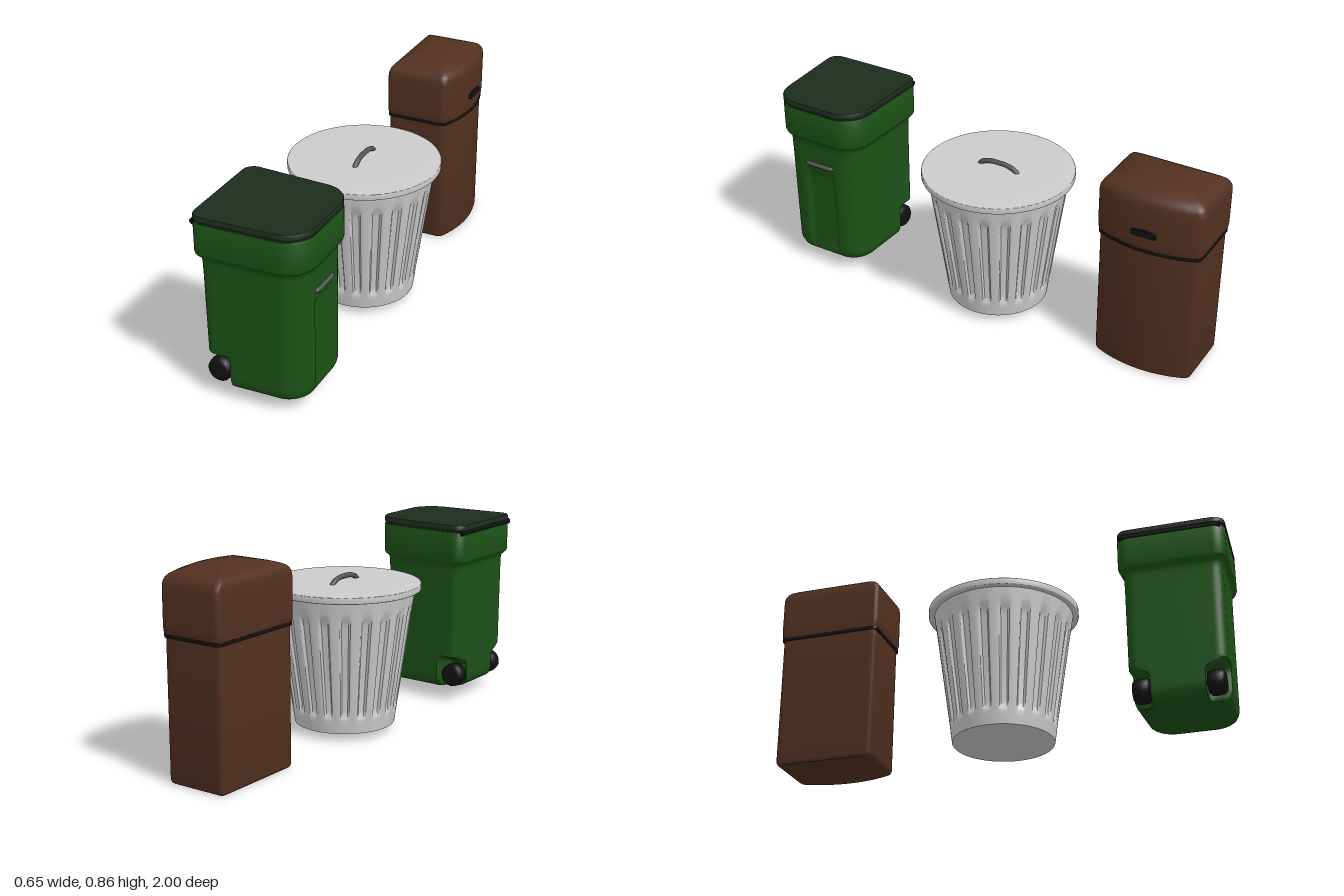
import * as THREE from 'three';
import { toCreasedNormals } from 'three/addons/utils/BufferGeometryUtils.js';

const mat = (color) => new THREE.MeshStandardMaterial({ color });
const GREY = mat(0xcccccc), DARK = mat(0x555555), BLACK = mat(0x111111);
const GREEN = mat(0x1c5216), GREEN_LID = mat(0x1c2c1e), BROWN = mat(0x52301f);
const smooth = THREE.MathUtils.smoothstep;

function add(parent, name, geometry, material, x = 0, y = 0, z = 0) {
  const mesh = new THREE.Mesh(geometry, material);
  mesh.name = name;
  mesh.position.set(x, y, z);
  parent.add(mesh);
  return mesh;
}

// Plan outline (x, z) from corners [x, z, radius], evenly resampled
function plan(corners, count) {
  const path = new THREE.Path();
  const n = corners.length;
  const P = corners.map(([x, z]) => new THREE.Vector2(x, z));
  for (let i = 0; i < n; i++) {
    const p = P[i], r = corners[i][2];
    const toward = (q) => q.clone().sub(p).setLength(r).add(p);
    const a = toward(P[(i + n - 1) % n]), b = toward(P[(i + 1) % n]);
    if (i === 0) path.moveTo(a.x, a.y);
    else path.lineTo(a.x, a.y);
    if (r > 0) {
      const k = 0.55;
      const c1 = a.clone().lerp(p, k), c2 = b.clone().lerp(p, k);
      path.bezierCurveTo(c1.x, c1.y, c2.x, c2.y, b.x, b.y);
    }
  }
  path.closePath();
  const pts = path.getSpacedPoints(count).slice(0, count);
  return THREE.ShapeUtils.isClockWise(pts) ? pts : pts.reverse();
}

// Stack scaled copies of an outline; rings are [y, scale], scale 0 closes an end
function loft(outline, rings, deform, crease = 0.7) {
  const n = outline.length, pos = [], index = [], v = new THREE.Vector3();
  for (const [y, s] of rings) {
    for (const p of outline) {
      v.set(p.x * s, y, p.y * s);
      if (deform) deform(v);
      pos.push(v.x, v.y, v.z);
    }
  }
  for (let i = 0; i < rings.length - 1; i++) {
    for (let j = 0; j < n; j++) {
      const k = (j + 1) % n, a = i * n + j, b = i * n + k, c = a + n, d = b + n;
      if (rings[i][1] > 0) index.push(a, b, d);
      if (rings[i + 1][1] > 0) index.push(a, d, c);
    }
  }
  const g = new THREE.BufferGeometry();
  g.setAttribute('position', new THREE.Float32BufferAttribute(pos, 3));
  g.setIndex(index);
  return toCreasedNormals(g, crease);
}

const tube = (pts, r) => new THREE.TubeGeometry(
  new THREE.CatmullRomCurve3(pts.map((p) => new THREE.Vector3(...p))), 24, r, 10);

function greenBin() {
  const bin = new THREE.Group();
  bin.name = 'wheeledBin';
  const outline = plan([[-0.235, -0.228, 0.05], [0.235, -0.208, 0.11],
    [0.235, 0.208, 0.11], [-0.235, 0.228, 0.05]], 180);

  // Body with rounded foot, flared collar, wheel recesses and front groove
  const rings = [[0.057, 0], [0.057, 0.72], [0.062, 0.79], [0.072, 0.84], [0.09, 0.875]];
  for (let y = 0.105; y < 0.56; y += 0.015) rings.push([y, 0.888 + 0.03 * (y - 0.1)]);
  rings.push([0.6, 0.905], [0.62, 0.907], [0.635, 0.92], [0.645, 0.955], [0.652, 0.985],
    [0.662, 1], [0.785, 1], [0.79, 0.99], [0.79, 0]);
  const deform = (v) => {
    const recess = smooth(-v.x, 0.1, 0.135) * (1 - smooth(v.y, 0.17, 0.21));
    const limit = Math.sign(v.z) * Math.min(Math.abs(v.z), 0.11);
    v.z += (limit - v.z) * recess;
    const groove = (1 - smooth(Math.abs(v.z), 0.06, 0.08)) * smooth(v.x, 0.12, 0.17)
      * smooth(v.y, 0.07, 0.11) * (1 - smooth(v.y, 0.46, 0.51));
    v.x -= 0.012 * groove;
  };
  add(bin, 'binBody', loft(outline, rings, deform), GREEN);
  add(bin, 'binLid', loft(outline, [[0.79, 0], [0.79, 0.97], [0.798, 0.975], [0.8, 1],
    [0.817, 1], [0.822, 0.99], [0.822, 0]]), GREEN_LID);

  // Hinge bar, front handle, wheels and axle
  add(bin, 'hingeBar', new THREE.CylinderGeometry(0.013, 0.013, 0.42, 14), BLACK, -0.225, 0.789, 0)
    .rotation.x = Math.PI / 2;
  add(bin, 'frontHandle', tube([[0.19, 0.525, -0.075], [0.21, 0.525, -0.062], [0.214, 0.525, 0],
    [0.21, 0.525, 0.062], [0.19, 0.525, 0.075]], 0.01), DARK);
  const profile = [[0, -0.035], [0.04, -0.035], [0.05, -0.025], [0.053, 0], [0.05, 0.025],
    [0.04, 0.035], [0, 0.035]].map((p) => new THREE.Vector2(...p));
  for (const side of [-1, 1]) {
    add(bin, 'wheel', new THREE.LatheGeometry(profile, 20), BLACK, -0.166, 0.117, side * 0.15)
      .rotation.x = Math.PI / 2;
  }
  add(bin, 'axle', new THREE.CylinderGeometry(0.012, 0.012, 0.3, 10), BLACK, -0.166, 0.117, 0)
    .rotation.x = Math.PI / 2;
  return bin;
}

function metalCan() {
  const can = new THREE.Group();
  can.name = 'metalCan';
  const circle = [];
  for (let i = 0; i < 240; i++) {
    const a = (i / 240) * Math.PI * 2;
    circle.push(new THREE.Vector2(Math.cos(a), -Math.sin(a)));
  }

  // Tapered body with twenty pressed flutes
  const radius = (y) => 0.215 + 0.085 * (y - 0.035) / 0.585;
  const ys = [0.035, 0.07, 0.09, 0.1, 0.11, 0.12, 0.13, 0.3, 0.5, 0.52, 0.535, 0.55, 0.57, 0.62];
  const rings = [[0.035, 0], ...ys.map((y) => [y, radius(y)]), [0.62, 0]];
  const flute = (v) => {
    const depth = smooth(v.y, 0.09, 0.13) * (1 - smooth(v.y, 0.51, 0.57));
    const wave = smooth(Math.cos(20 * Math.atan2(v.z, v.x)), -0.2, 0.6);
    const r = Math.hypot(v.x, v.z);
    if (r > 0) v.multiply(new THREE.Vector3(1 - 0.014 * depth * wave / r, 1,
      1 - 0.014 * depth * wave / r));
  };
  add(can, 'canBody', loft(circle, rings, flute), GREY);

  // Overhanging lid with arched handle
  const lid = [[0, 0.615], [0.32, 0.615], [0.325, 0.618], [0.325, 0.641], [0.322, 0.644],
    [0.2, 0.645], [0, 0.646]].map((p) => new THREE.Vector2(...p));
  add(can, 'canLid', new THREE.LatheGeometry(lid, 64), GREY);
  add(can, 'lidHandle', tube([[0, 0.638, -0.092], [0, 0.655, -0.075], [0, 0.667, -0.035],
    [0, 0.668, 0], [0, 0.667, 0.035], [0, 0.655, 0.075], [0, 0.638, 0.092]], 0.011), DARK);
  return can;
}

function brownBin() {
  const bin = new THREE.Group();
  bin.name = 'domeTopBin';

  // Plan with a bowed front
  const corners = [[-0.136, 0.217, 0.015], [-0.136, -0.217, 0.015], [0.13, -0.217, 0.02]];
  for (let i = -5; i <= 5; i++) {
    const t = i / 7;
    corners.push([0.13 + 0.047 * (1 - t * t), t * 0.217, 0]);
  }
  corners.push([0.13, 0.217, 0.02]);
  const outline = plan(corners, 160);

  add(bin, 'binBody', loft(outline, [[0, 0], [0, 0.95], [0.004, 0.98], [0.015, 1],
    [0.59, 1.005], [0.59, 0]]), BROWN);
  add(bin, 'seam', loft(outline, [[0.583, 0], [0.583, 1.035], [0.598, 1.035], [0.598, 0]]), BLACK);
  add(bin, 'domeLid', loft(outline, [[0.597, 0], [0.597, 1.03], [0.61, 1.045], [0.63, 1.05],
    [0.78, 1.05], [0.8, 1.035], [0.813, 1.0], [0.823, 0.95], [0.833, 0.85], [0.845, 0.68],
    [0.855, 0.47], [0.861, 0.25], [0.863, 0]]), BROWN);

  // Arched slot on the front of the lid
  const slot = new THREE.Shape();
  slot.moveTo(-0.052, -0.014);
  slot.lineTo(0.052, -0.014);
  slot.lineTo(0.052, 0.007);
  slot.quadraticCurveTo(0, 0.024, -0.052, 0.007);
  slot.closePath();
  add(bin, 'slot', new THREE.ExtrudeGeometry(slot, { depth: 0.025, bevelEnabled: false }),
    BLACK, 0.168, 0.673, 0).rotation.y = Math.PI / 2;
  return bin;
}

export function createModel() {
  const model = new THREE.Group();
  model.name = 'trashBins';
  const green = greenBin(), can = metalCan(), brown = brownBin();
  green.position.z = 0.772;
  can.position.z = -0.01;
  brown.position.z = -0.772;
  model.add(green, can, brown);
  return model;
}
